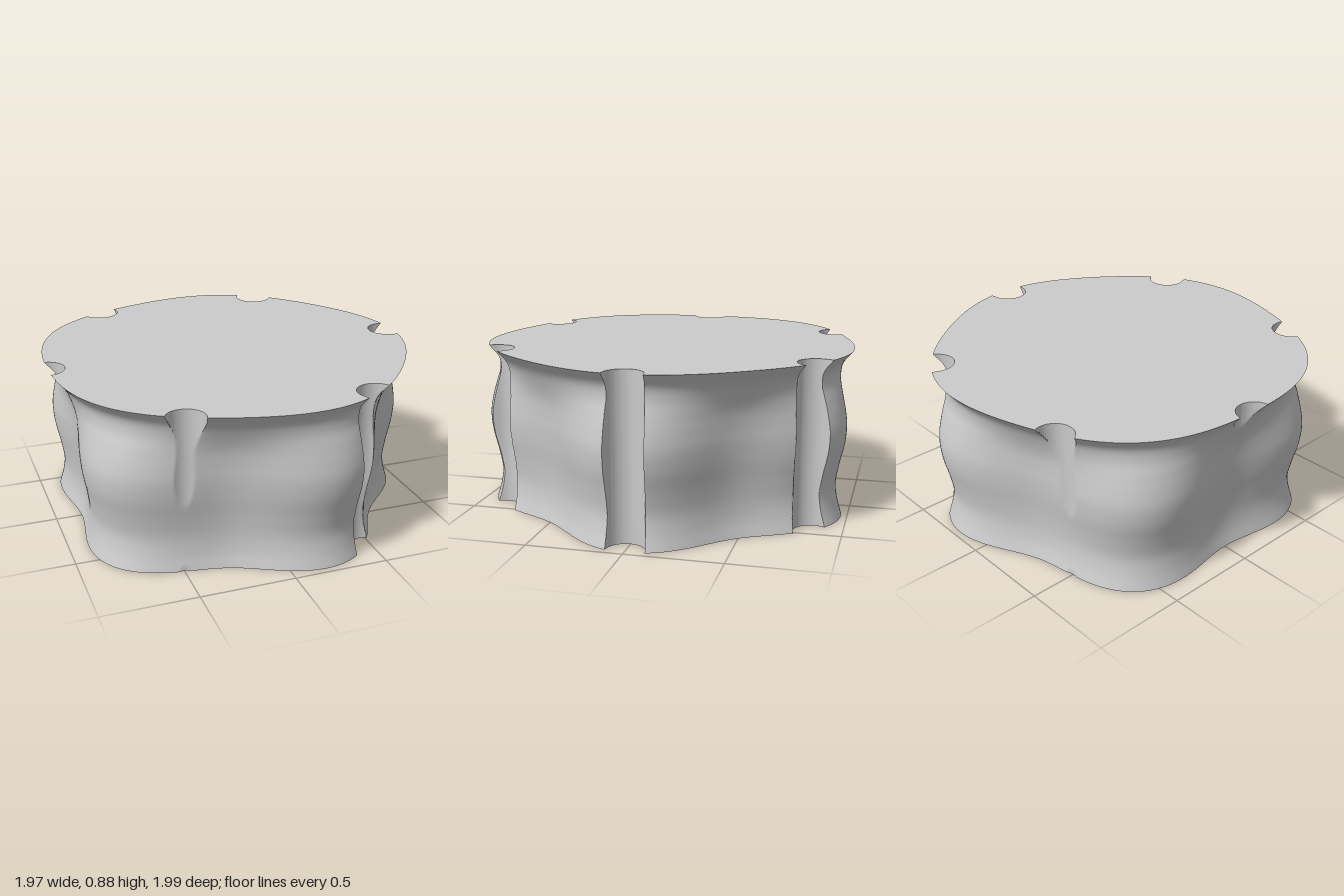
import * as THREE from 'three';
import { toCreasedNormals } from 'three/addons/utils/BufferGeometryUtils.js';

const HEIGHT = 0.88, CENTER_X = -0.02, ROWS = 52;
const LOBES = 5, GROOVES = 6, GROOVE_DIST = 0.98, GROOVE_RADIUS = 0.1;

// Side profile: x = mean radius, y = height, z = depth of the five-lobed wave
const profile = new THREE.CatmullRomCurve3([
  [0.92, 0, 0.08], [0.898, 0.08, 0.078], [0.888, 0.17, 0.075], [0.9, 0.28, 0.08],
  [0.922, 0.4, 0.086], [0.93, 0.5, 0.085], [0.925, 0.58, 0.077], [0.918, 0.66, 0.062],
  [0.918, 0.74, 0.038], [0.936, 0.81, 0.023], [0.992, HEIGHT, 0.02],
].map(p => new THREE.Vector3(...p)));

// Angles around the body, packed closely across each groove
function sampleAngles() {
  const angles = [], pitch = 2 * Math.PI / GROOVES;
  const half = Math.asin(GROOVE_RADIUS / GROOVE_DIST);
  for (let g = 0; g < GROOVES; g++) {
    for (let i = 0; i <= 28; i++) {
      const t = Math.PI * (i / 28 - 0.5);
      angles.push(g * pitch + Math.asin(GROOVE_RADIUS / GROOVE_DIST * Math.sin(t)));
    }
    const start = half + 0.0005, end = pitch - half - 0.0005;
    for (let i = 0; i <= 36; i++) angles.push(g * pitch + start + (end - start) * i / 36);
  }
  return angles;
}

// Radius of the lobed wall, cut back wherever a round groove reaches deeper
function radiusAt(angle, mean, wave) {
  const wall = mean + wave * Math.cos(LOBES * angle);
  const pitch = 2 * Math.PI / GROOVES;
  const off = angle - Math.round(angle / pitch) * pitch;
  const s = GROOVE_DIST * Math.sin(off);
  if (Math.abs(s) > GROOVE_RADIUS + 1e-7) return wall;
  const cut = GROOVE_DIST * Math.cos(off) - Math.sqrt(Math.max(0, GROOVE_RADIUS ** 2 - s * s));
  return Math.min(wall, cut);
}

function bodyGeometry() {
  const angles = sampleAngles(), n = angles.length;
  const positions = [], index = [];
  for (let j = 0; j <= ROWS; j++) {
    const p = profile.getPoint(j / ROWS);
    for (const a of angles) {
      const r = radiusAt(a, p.x, p.z);
      positions.push(CENTER_X + r * Math.cos(a), p.y, r * Math.sin(a));
    }
  }
  // Side wall
  for (let j = 0; j < ROWS; j++) {
    for (let i = 0; i < n; i++) {
      const k = (i + 1) % n;
      const a = j * n + i, b = j * n + k, c = a + n, d = b + n;
      index.push(a, c, b, b, c, d);
    }
  }
  // Flat bottom and top
  const bottom = positions.length / 3, top = bottom + 1, last = ROWS * n;
  positions.push(CENTER_X, 0, 0, CENTER_X, HEIGHT, 0);
  for (let i = 0; i < n; i++) {
    const k = (i + 1) % n;
    index.push(bottom, i, k, top, last + k, last + i);
  }
  const geometry = new THREE.BufferGeometry();
  geometry.setAttribute('position', new THREE.Float32BufferAttribute(positions, 3));
  geometry.setIndex(index);
  return toCreasedNormals(geometry, 0.6);
}

export function createModel() {
  const group = new THREE.Group();
  group.name = 'lobedBlock';
  const body = new THREE.Mesh(bodyGeometry(), new THREE.MeshStandardMaterial({ color: 0xcccccc }));
  body.name = 'groovedBody';
  group.add(body);
  return group;
}
